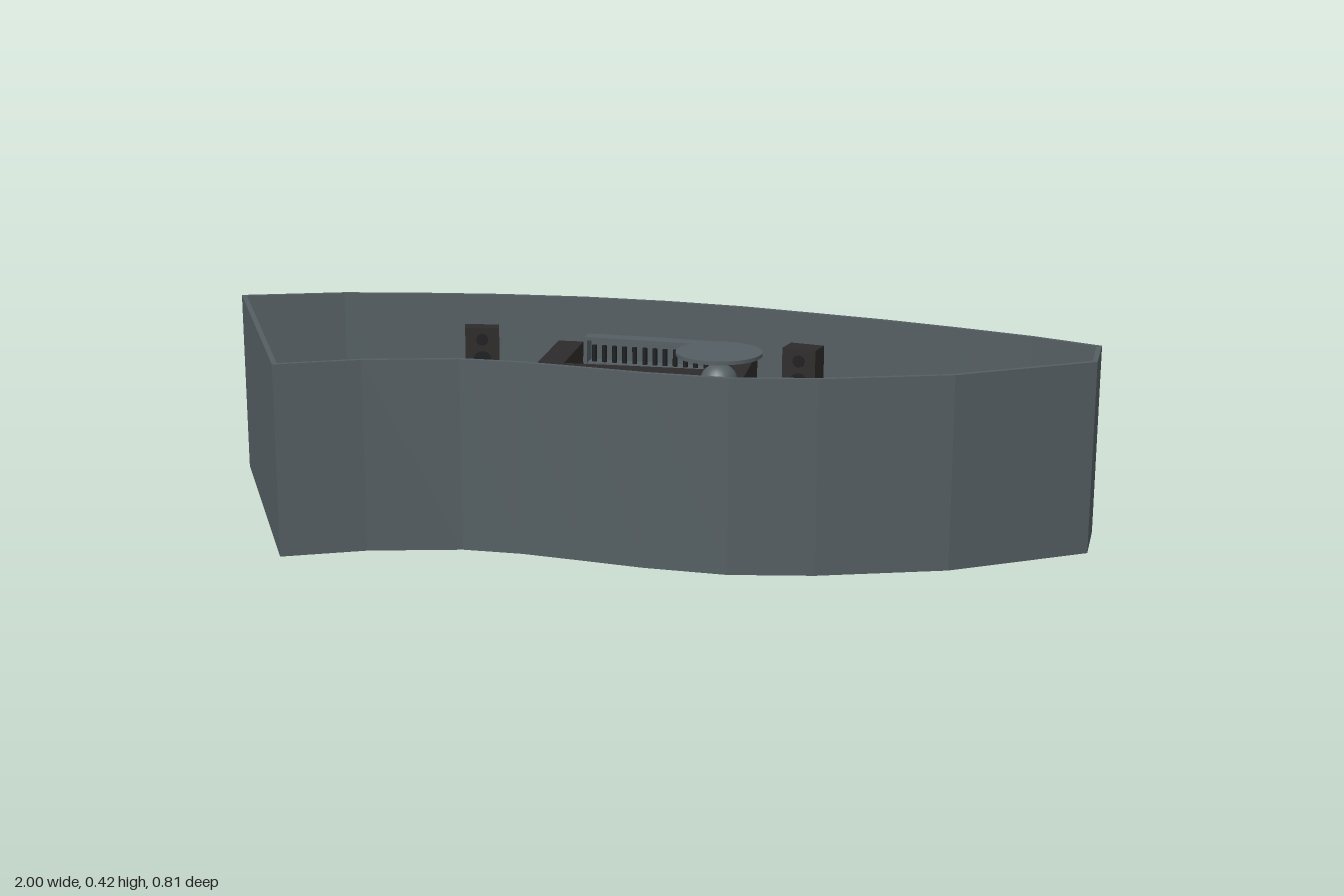
import * as THREE from 'three';

const mat = (name, color) => Object.assign(new THREE.MeshStandardMaterial({ color }), { name });

export function createModel() {
  const root = new THREE.Group();
  root.name = 'loungeRoom';
  const grey = mat('slateGrey', 0x545e62);
  const dark = mat('darkWood', 0x2d2b2a);
  const black = mat('black', 0x1d1e20);
  const blue = mat('blueUpholstery', 0x60769f);

  const add = (name, geo, material, x = 0, y = 0, z = 0, rot = 0, parent = root) => {
    const m = new THREE.Mesh(geo, material);
    m.name = name;
    m.position.set(x, y, z);
    m.rotation.y = rot;
    parent.add(m);
    return m;
  };
  const box = (w, h, d) => new THREE.BoxGeometry(w, h, d);
  const cyl = (r, h, n = 16) => new THREE.CylinderGeometry(r, r, h, n);
  const group = (name, x, z, rot = 0) => {
    const g = new THREE.Group();
    g.name = name;
    g.position.set(x, 0, z);
    g.rotation.y = rot;
    root.add(g);
    return g;
  };
  const toShape = (pts) => new THREE.Shape(pts.map(([x, z]) => new THREE.Vector2(x, z)));
  // Extrude a floor-plan shape between two heights
  const slab = (shape, y0, y1) =>
    new THREE.ExtrudeGeometry(shape, { depth: y1 - y0, bevelEnabled: false })
      .rotateX(Math.PI / 2).translate(0, y1, 0);
  // Offset a clockwise-on-plan outline inwards
  const inset = (pts, t) => pts.map((p, i) => {
    const a = pts[(i + pts.length - 1) % pts.length], b = pts[(i + 1) % pts.length];
    const n = ([x0, z0], [x1, z1]) => new THREE.Vector2(z0 - z1, x1 - x0).normalize();
    const n1 = n(a, p), n2 = n(p, b);
    const k = t / (1 + n1.dot(n2));
    return [p[0] + (n1.x + n2.x) * k, p[1] + (n1.y + n2.y) * k];
  });

  // Curved room shell
  const plan = [
    [-1, -0.24], [-0.77, -0.315], [-0.58, -0.345], [-0.4, -0.365], [-0.2, -0.372], [0, -0.36],
    [0.18, -0.335], [0.35, -0.296], [0.52, -0.255], [0.68, -0.207], [0.85, -0.15], [0.995, -0.085],
    [0.985, 0.065], [0.7, 0.235], [0.43, 0.32], [0.25, 0.348], [0.07, 0.335], [-0.07, 0.312],
    [-0.2, 0.292], [-0.33, 0.288], [-0.53, 0.332], [-0.7, 0.405],
  ];
  const ring = toShape(plan);
  ring.holes.push(toShape(inset(plan, 0.011)));
  add('walls', slab(ring, 0, 0.42), grey);
  add('floor', slab(toShape(inset(plan, 0.005)), 0.001, 0.007), grey);

  // U-shaped bar: counter below, canopy above whose right arm passes through the wall
  const uShape = (back, e) => toShape([
    [-0.26 + e, -0.355], [-0.26 + e, -0.06 - e], [0.22 - e, -0.06 - e], [0.22 - e, back],
    [0.14 + e, back], [0.14 + e, -0.14 + e], [-0.2 - e, -0.14 + e], [-0.2 - e, -0.355],
  ]);
  add('barCanopyLower', slab(uShape(-0.41, 0.001), 0.245, 0.28), dark);
  add('barCanopyUpper', slab(uShape(-0.41, 0), 0.28, 0.315), dark);
  add('barCounter', slab(uShape(-0.32, 0.012), 0.007, 0.115), dark);
  add('barCounterTop', slab(uShape(-0.32, 0.002), 0.115, 0.128), dark);

  // Bottle rack against the back wall
  const rack = group('bottleRack', -0.035, -0.332, -0.08);
  for (const y of [0.14, 0.205, 0.27]) {
    add('rackShelf', box(0.31, 0.006, 0.04), grey, 0, y, 0, 0, rack);
    for (let i = 0; i < 12; i++)
      add('bottle', cyl(0.006, 0.04, 8), black, -0.135 + i * 0.0245, y + 0.022, 0.005, 0, rack);
  }
  add('rackTop', box(0.31, 0.008, 0.045), grey, 0, 0.33, 0, 0, rack);
  for (const s of [-1, 1]) add('rackSide', box(0.007, 0.32, 0.042), grey, s * 0.152, 0.17, 0, 0, rack);

  // Bar stools
  const stool = (x, z) => {
    const g = group('barStool', x, z);
    add('stoolSeat', cyl(0.011, 0.01, 14), black, 0, 0.092, 0, 0, g);
    add('stoolPost', cyl(0.003, 0.085, 8), black, 0, 0.047, 0, 0, g);
    add('stoolBase', cyl(0.009, 0.004, 14), black, 0, 0.009, 0, 0, g);
  };
  for (let i = 0; i < 7; i++) stool(-0.182 + i * 0.059, -0.025);
  for (const z of [-0.302, -0.244, -0.186]) stool(-0.315, z);

  // Round standing tables
  for (const [x, z] of [[-0.6, -0.255], [-0.43, -0.275], [-0.18, 0.22], [0.03, 0.255], [0.24, 0.275]]) {
    const g = group('roundTable', x, z);
    add('tableTop', cyl(0.033, 0.006, 24), grey, 0, 0.1, 0, 0, g);
    add('tablePost', cyl(0.005, 0.094, 10), dark, 0, 0.053, 0, 0, g);
    add('tableCap', cyl(0.005, 0.003, 10), grey, 0, 0.104, 0, 0, g);
  }

  // Low partitions
  const partition = (x0, z0, x1, z1) =>
    add('partition', box(Math.hypot(x1 - x0, z1 - z0), 0.1, 0.008), dark,
      (x0 + x1) / 2, 0.057, (z0 + z1) / 2, -Math.atan2(z1 - z0, x1 - x0));
  partition(-0.63, -0.175, -0.37, -0.205);
  partition(-0.2, 0.15, 0.265, 0.2);

  // Wall screen with a small emblem-free centre plate
  const screen = group('wallScreen', -0.63, -0.318, 0.11);
  add('screenPanel', box(0.18, 0.115, 0.006), dark, 0, 0.2, 0, 0, screen);
  add('screenCentre', box(0.04, 0.03, 0.004), grey, 0.01, 0.195, 0.005, 0, screen);

  // Speakers mounted on the back wall
  for (const [x, z, r] of [[-0.443, -0.343, 0.25], [0.333, -0.265, -0.24]]) {
    const g = group('speaker', x, z, r);
    add('speakerCase', box(0.08, 0.11, 0.068), dark, 0, 0.293, 0, 0, g);
    for (const [y, rad] of [[0.27, 0.022], [0.32, 0.014]])
      add('speakerCone', cyl(rad, 0.004, 20).rotateX(Math.PI / 2), black, 0, y, 0.035, 0, g);
  }

  // Ceiling disc with hanging ball
  add('ceilingDisc', cyl(0.093, 0.008, 40), grey, 0.19, 0.408, 0.085);
  add('hangingStem', cyl(0.006, 0.04, 10), grey, 0.19, 0.39, 0.085);
  add('hangingBall', new THREE.SphereGeometry(0.041, 24, 16), grey, 0.19, 0.345, 0.085);

  // Vertical pipes through the rear wall
  for (const [x, z] of [[0.6, -0.229], [0.645, -0.215], [0.69, -0.201]])
    add('wallPipe', cyl(0.01, 0.24, 12), grey, x, 0.17, z);

  // Booth seating: benches with backs and rectangular tables
  const bench = (x, z, rot, side) => {
    const g = group('bench', x, z, rot);
    add('benchBase', box(0.066, 0.035, 0.145), dark, 0, 0.024, 0, 0, g);
    add('benchSeat', box(0.068, 0.02, 0.148), blue, 0, 0.051, 0, 0, g);
    add('benchBack', box(0.012, 0.07, 0.148), blue, side * 0.028, 0.096, 0, 0, g);
  };
  const boothTable = (x, z, w, d, rot) => {
    const g = group('boothTable', x, z, rot);
    add('boothTableTop', box(w, 0.008, d), grey, 0, 0.092, 0, 0, g);
    add('boothTableLeg', box(0.02, 0.082, d * 0.6), dark, 0, 0.047, 0, 0, g);
  };
  bench(0.942, -0.014, -0.1, 1);
  boothTable(0.85, -0.02, 0.085, 0.17, -0.1);
  bench(0.47, 0.2, 0.29, -1);
  boothTable(0.555, 0.17, 0.075, 0.178, 0.29);
  bench(0.638, 0.14, 0.29, 1);

  return root;
}
